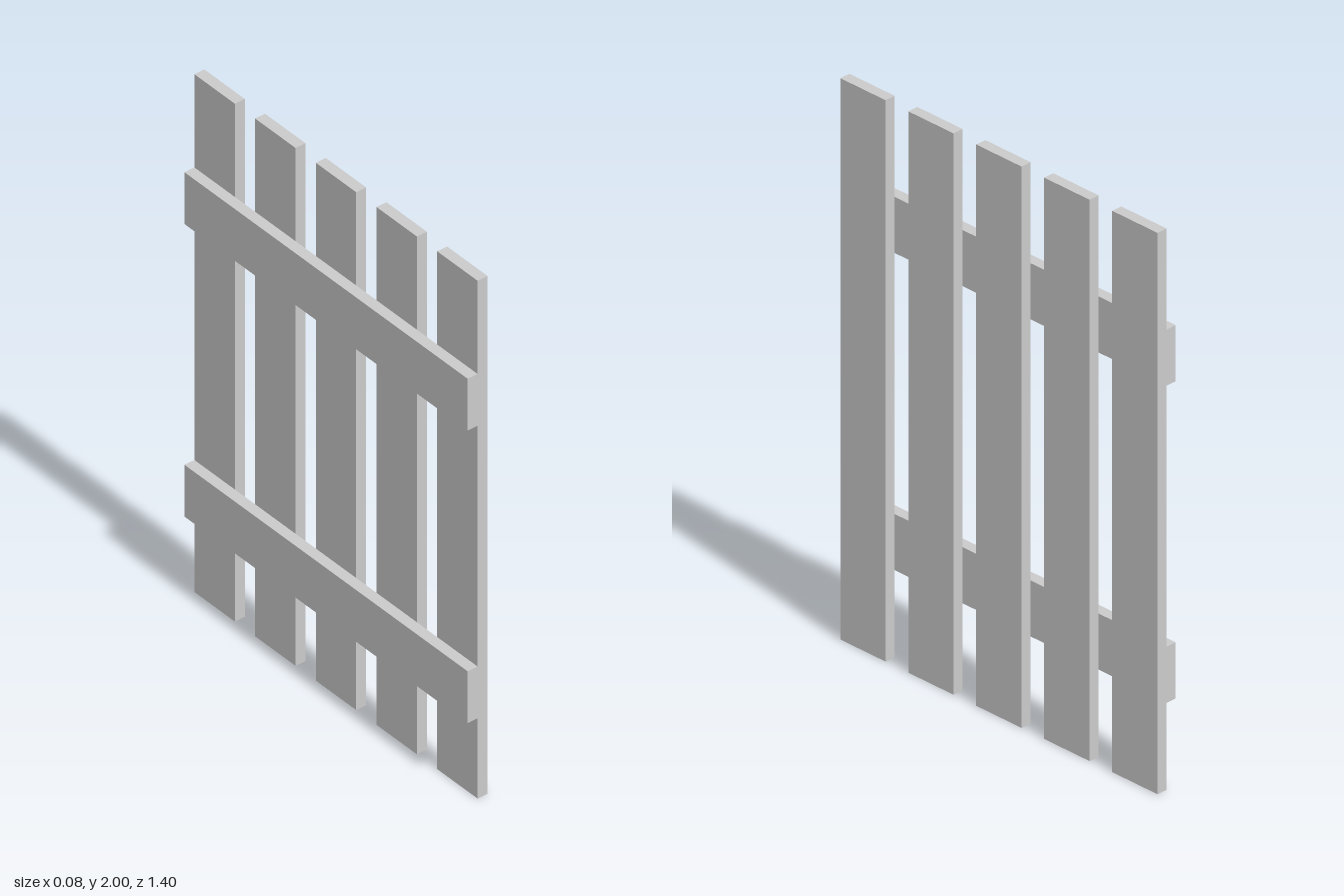
import * as THREE from 'three';

export function createModel() {
  const group = new THREE.Group();
  const material = new THREE.MeshStandardMaterial({ color: 0xcccccc, flatShading: true });
  const thickness = 0.04;

  function addBoard(name, height, depth, x, y, z) {
    const board = new THREE.Mesh(new THREE.BoxGeometry(thickness, height, depth), material);
    board.name = name;
    board.position.set(x, y, z);
    group.add(board);
  }

  // Five upright slats, evenly spaced
  for (let i = -2; i <= 2; i++) {
    addBoard(`slat${i + 3}`, 2, 0.2, thickness / 2, 1, i * 0.3);
  }

  // Two cross rails fixed behind the slats
  addBoard('lowerRail', 0.2, 1.4, -thickness / 2, 0.41, 0);
  addBoard('upperRail', 0.2, 1.4, -thickness / 2, 1.54, 0);

  return group;
}
